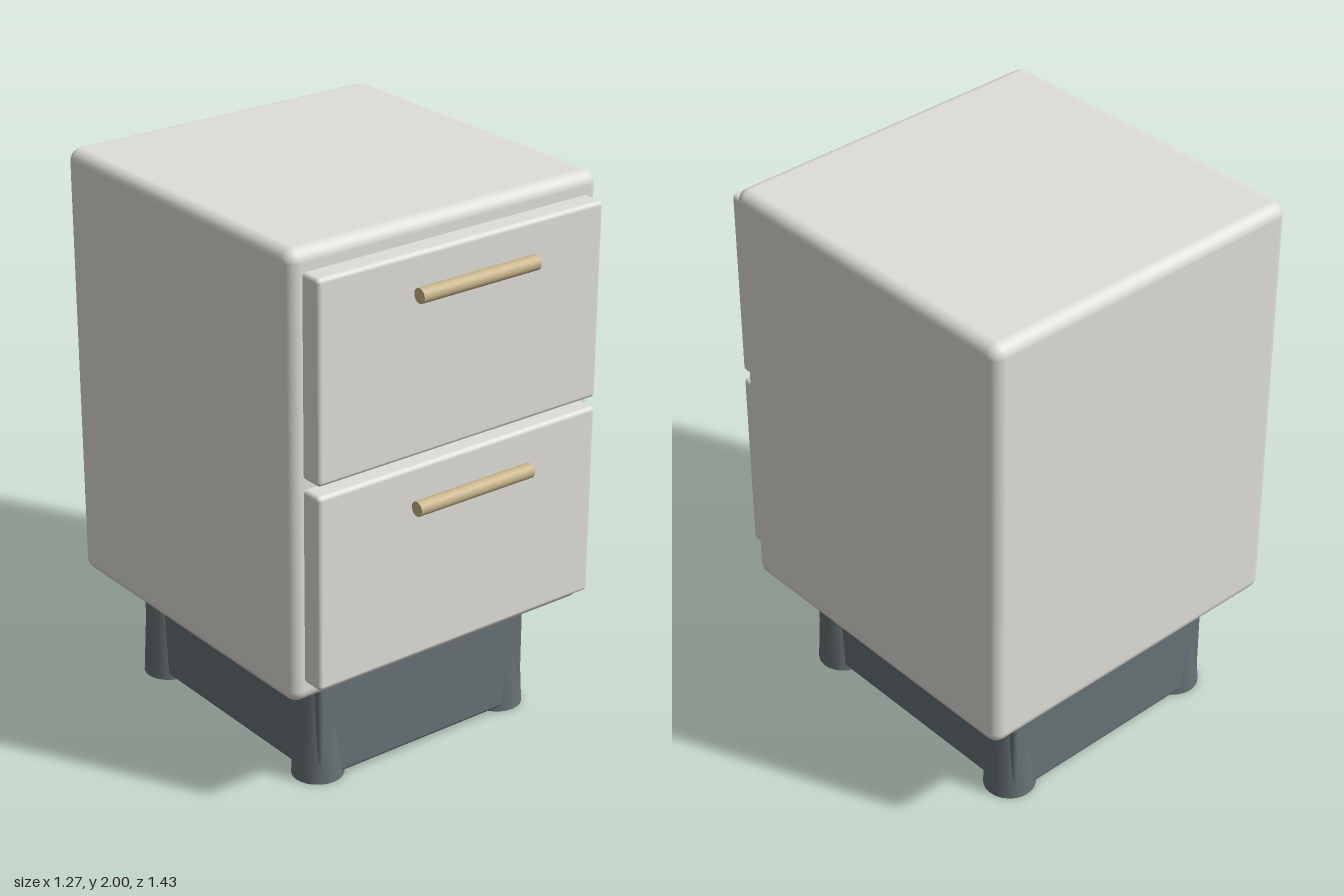
import * as THREE from 'three';
import { RoundedBoxGeometry } from 'three/addons/geometries/RoundedBoxGeometry.js';

export function createModel() {
  const model = new THREE.Group();
  model.name = 'bedsideCabinet';

  const shell = new THREE.MeshStandardMaterial({ color: 0xe0ded8 });
  const dark = new THREE.MeshStandardMaterial({ color: 0x687275 });
  const brass = new THREE.MeshStandardMaterial({ color: 0xc9b68c });

  const add = (name, geometry, material, x, y, z) => {
    const mesh = new THREE.Mesh(geometry, material);
    mesh.name = name;
    mesh.position.set(x, y, z);
    model.add(mesh);
    return mesh;
  };

  // Rounded box given by its lower and upper corners
  const roundedBox = (name, min, max, radius, material) => {
    const size = max.map((v, i) => v - min[i]);
    const centre = max.map((v, i) => (v + min[i]) / 2);
    return add(name, new RoundedBoxGeometry(...size, 4, radius), material, ...centre);
  };

  // Cabinet body
  roundedBox('body', [-0.635, 0.415, -0.715], [0.635, 2, 0.55], 0.045, shell);

  // Two drawer fronts, each with a round bar handle standing off the face
  [['lower', 0.49], ['upper', 1.225]].forEach(([level, y]) => {
    roundedBox(level + 'Drawer', [-0.585, y, 0.52], [0.585, y + 0.7, 0.628], 0.016, shell);
    const bar = new THREE.CylinderGeometry(0.026, 0.026, 0.48, 24);
    bar.rotateZ(Math.PI / 2);
    add(level + 'Handle', bar, brass, 0, y + 0.586, 0.693);
  });

  // Plinth under the body
  roundedBox('plinth', [-0.452, 0.015, -0.61], [0.452, 0.415, 0.45], 0.018, dark);

  // Tapered feet at the plinth corners, wider at the floor
  for (const sx of [1, -1]) {
    for (const sz of [1, -1]) {
      const name = (sz > 0 ? 'front' : 'back') + (sx > 0 ? 'Left' : 'Right') + 'Foot';
      add(name, new THREE.CylinderGeometry(0.07, 0.092, 0.42, 24), dark, sx * 0.4, 0.21, -0.08 + sz * 0.45);
    }
  }

  return model;
}
